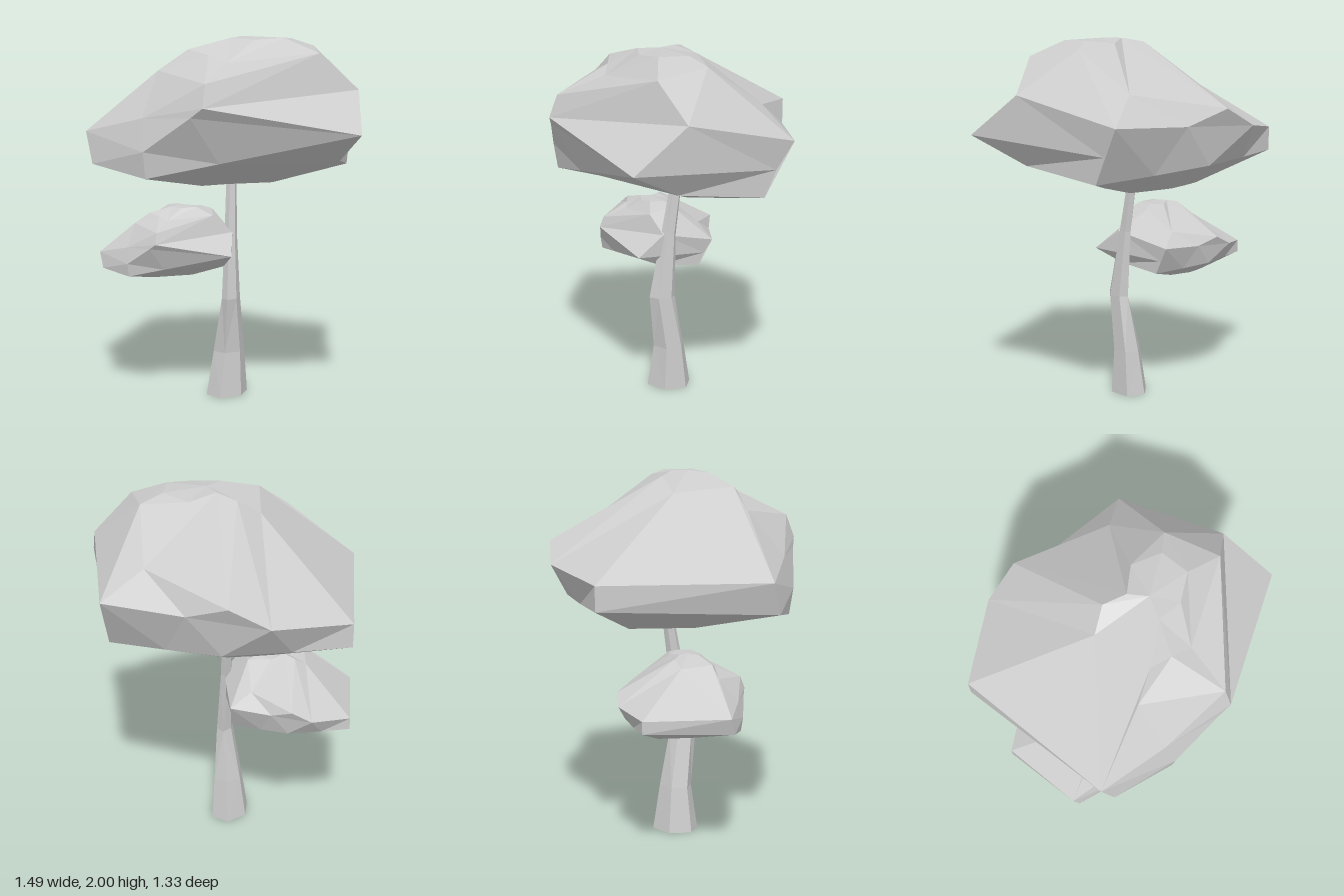
import * as THREE from 'three';

const material = new THREE.MeshStandardMaterial({ color: 0xcccccc, flatShading: true });

const distance = (p, q) => Math.hypot(p[0] - q[0], p[1] - q[1], p[2] - q[2]);

// Joins closed rings of points (bottom to top) and closes both ends with fans;
// each quad is split along its shorter diagonal
function loft(rings, bottom, top) {
  const pos = [];
  const tri = (a, b, c) => {
    if (distance(a, b) && distance(b, c) && distance(a, c)) pos.push(...a, ...b, ...c);
  };
  const n = rings[0].length;
  for (let i = 0; i < n; i++) {
    const j = (i + 1) % n;
    for (let k = 0; k < rings.length - 1; k++) {
      const a = rings[k], b = rings[k + 1];
      if (distance(a[i], b[j]) < distance(a[j], b[i])) {
        tri(a[i], a[j], b[j]);
        tri(a[i], b[j], b[i]);
      } else {
        tri(a[i], a[j], b[i]);
        tri(a[j], b[j], b[i]);
      }
    }
    const last = rings[rings.length - 1];
    tri(rings[0][j], rings[0][i], bottom);
    tri(last[i], last[j], top);
  }
  const g = new THREE.BufferGeometry();
  g.setAttribute('position', new THREE.Float32BufferAttribute(pos, 3));
  g.computeVertexNormals();
  return g;
}

// Faceted leaf mass; 0 repeats the point of the ring below, so facets merge there
function crownGeometry() {
  const lower = [[0.03, 1.35, 0.51], [0.58, 1.345, 0.11], [0.53, 1.285, -0.36], [0.22, 1.315, -0.47], [-0.08, 1.35, -0.58],
    [-0.43, 1.36, -0.52], [-0.73, 1.37, -0.455], [-0.68, 1.33, 0.47], [-0.345, 1.27, 0.58]];
  const middle = [[-0.08, 1.59, 0.648], [0.74, 1.5, 0.37], [0.53, 1.43, -0.42], [0.54, 1.58, -0.51], [0.1, 1.565, -0.59],
    [-0.33, 1.55, -0.665], [-0.73, 1.5, -0.455], [-0.73, 1.5, 0.43], [-0.35, 1.41, 0.6]];
  const upper = [[-0.01, 1.64, 0.665], [0.67, 1.72, 0.08], [0.54, 1.58, -0.51], [0.33, 1.73, -0.4], [-0.12, 1.65, -0.665],
    0, 0, 0, [-0.37, 1.58, 0.545]];
  const shoulder = [[-0.01, 1.76, 0.62], [0.48, 1.91, 0.19], [0.39, 1.95, -0.09], 0, 0, 0, 0, 0, [-0.35, 1.82, 0.35]];
  const crest = [[0.03, 1.86, 0.37], [0.28, 1.99, 0.14], [0.28, 1.99, -0.02], [0.14, 1.975, -0.1], [0, 2, -0.01],
    [-0.11, 1.98, -0.07], [-0.23, 1.9, -0.02], [-0.2, 1.93, 0.3], [-0.08, 1.9, 0.335]];
  const cap = [[0.14, 1.98, 0.21], 0, 0, 0, 0, 0, 0, 0, [0, 1.99, 0.19]];
  // Underside: the lower ring drawn in towards the trunk
  const under = lower.map(([x, y, z]) => [
    THREE.MathUtils.lerp(x, -0.08, 0.62), 1.175 + (y - 1.175) * 0.15, THREE.MathUtils.lerp(z, -0.15, 0.62)]);
  const rings = [under, lower, middle, upper, shoulder, crest, cap];
  for (let k = 1; k < rings.length; k++) rings[k] = rings[k].map((p, i) => p || rings[k - 1][i]);
  return loft(rings, [-0.08, 1.175, -0.15], [0.06, 2, 0.08]);
}

// Six-sided, slightly skewed trunk that bends: y, centre x and z, radius x and z
function trunkGeometry() {
  const sections = [
    [0, -0.075, 0.005, 0.11, 0.125],
    [0.25, -0.062, 0.007, 0.084, 0.088],
    [0.56, -0.038, 0.05, 0.046, 0.073],
    [0.93, -0.05, 0.01, 0.032, 0.042],
    [1.19, -0.057, -0.03, 0.028, 0.033],
    [1.3, -0.06, -0.05, 0.027, 0.03],
  ];
  const rings = sections.map(([y, cx, cz, rx, rz]) => Array.from({ length: 6 }, (_, i) => {
    const x = rx * Math.sin(i * Math.PI / 3);
    return [cx + x, y, cz + rz * Math.cos(i * Math.PI / 3) - 0.2 * x];
  }));
  return loft(rings, [-0.075, 0, 0.005], [-0.06, 1.3, -0.05]);
}

export function createModel() {
  const tree = new THREE.Group();
  tree.name = 'tree';
  const add = (name, geometry) => {
    const mesh = new THREE.Mesh(geometry, material);
    mesh.name = name;
    tree.add(mesh);
    return mesh;
  };
  add('trunk', trunkGeometry());
  const crown = crownGeometry();
  add('mainCrown', crown);

  // The side crown is a half-size copy beside the trunk
  const side = add('sideCrown', crown);
  side.scale.setScalar(0.51);
  side.position.set(-0.373, 0.05, 0.003);
  return tree;
}
